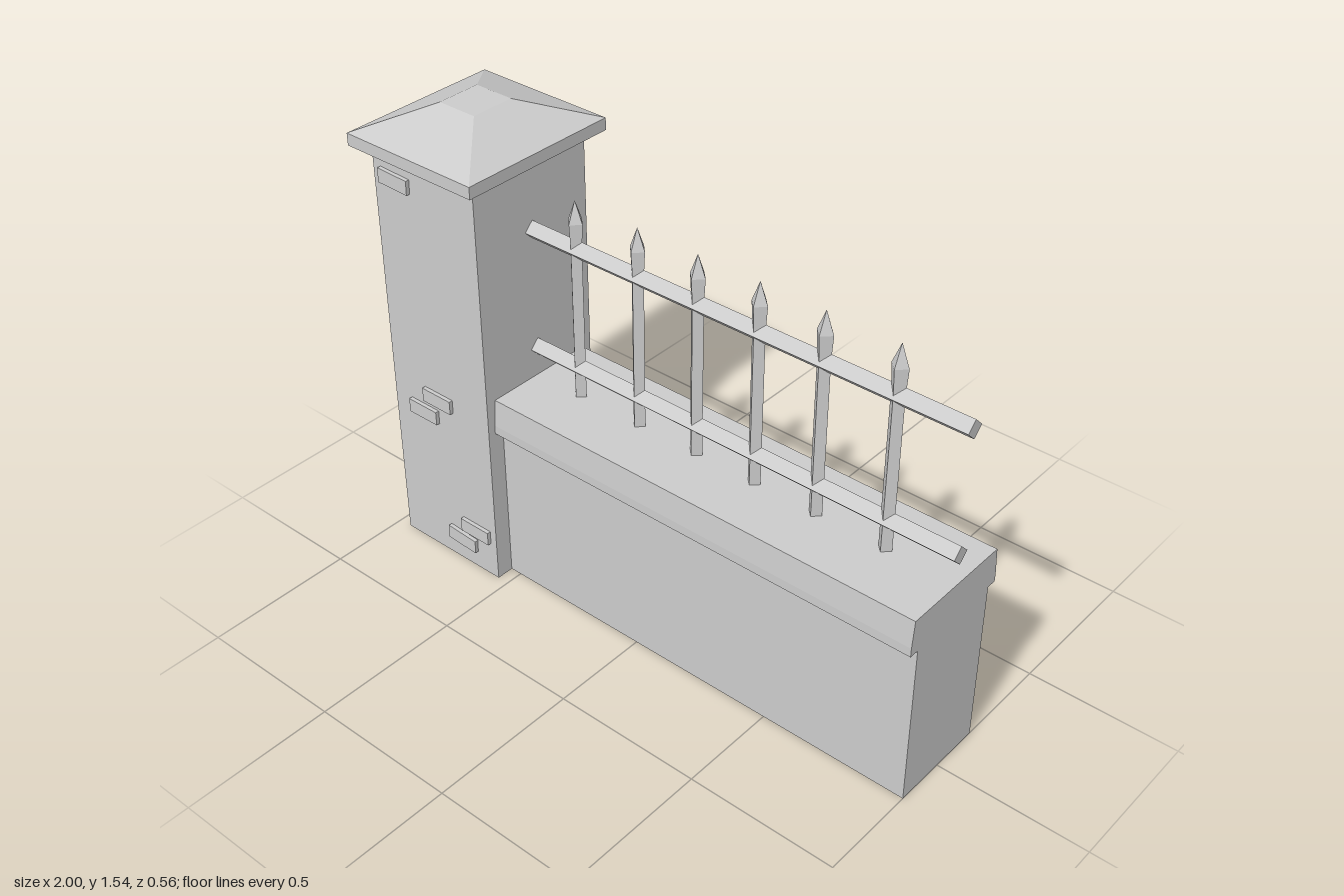
import * as THREE from 'three';

const material = new THREE.MeshStandardMaterial({ color: 0xcccccc, flatShading: true });

export function createModel() {
  const model = new THREE.Group();
  const add = (name, geometry, x = 0, y = 0, z = 0) => {
    const mesh = new THREE.Mesh(geometry, material);
    mesh.name = name;
    mesh.position.set(x, y, z);
    model.add(mesh);
    return mesh;
  };
  const box = (name, x0, x1, y0, y1, z) =>
    add(name, new THREE.BoxGeometry(x1 - x0, y1 - y0, 2 * z), (x0 + x1) / 2, (y0 + y1) / 2, 0);

  // Extrudes a (z, y) outline along x
  const alongX = (points, x0, x1) => {
    const shape = new THREE.Shape(points.map(([z, y]) => new THREE.Vector2(-z, y)));
    const geometry = new THREE.ExtrudeGeometry(shape, { depth: x1 - x0, bevelEnabled: false });
    return geometry.rotateY(Math.PI / 2).translate(x0, 0, 0);
  };

  // Pillar with its cap slab and hipped top
  box('pillar', -0.955, -0.54, 0, 1.42, 0.23);
  box('capSlab', -1, -0.497, 1.42, 1.46, 0.28);
  const hip = new THREE.BoxGeometry(0.503, 0.08, 0.56);
  const p = hip.attributes.position;
  for (let i = 0; i < p.count; i++) {
    if (p.getY(i) > 0) {
      p.setX(i, Math.sign(p.getX(i)) * 0.07);
      p.setZ(i, Math.sign(p.getZ(i)) * 0.075);
    }
  }
  hip.computeVertexNormals();
  add('capTop', hip, -0.7485, 1.5, 0);

  // Low wall and its tapered coping
  box('wall', -0.55, 1, 0, 0.57, 0.17);
  add('coping', alongX([[-0.203, 0.56], [0.203, 0.56], [0.203, 0.59], [0.195, 0.68],
    [-0.195, 0.68], [-0.203, 0.59]], -0.55, 1));

  // Diamond-section rails
  for (const y of [0.78, 1.19]) {
    add('rail', alongX([[0, y - 0.031], [0.031, y], [0, y + 0.031], [-0.031, y]], -0.55, 1));
  }

  // Four-sided bars with spear tips
  const barProfile = [[0, 0.67], [0.023, 0.67], [0.023, 1.2], [0.028, 1.28], [0, 1.35]]
    .map(([r, y]) => new THREE.Vector2(r, y));
  for (const x of [-0.365, -0.128, 0.092, 0.308, 0.527, 0.765]) {
    add('bar', new THREE.LatheGeometry(barProfile, 4), x);
  }

  // Raised bricks on the pillar: [position along face, height, tilt]
  const brick = new THREE.BoxGeometry(0.12, 0.048, 0.03);
  const frontBricks = [[-0.865, 1.333, -0.03], [-0.755, 0.603, 0], [-0.822, 0.533, 0],
    [-0.625, 0.153, 0], [-0.687, 0.09, -0.06]];
  for (const [x, y, tilt] of frontBricks) add('frontBrick', brick, x, y, 0.228).rotation.z = tilt;
  for (const [x, y] of [[-0.838, 1.268], [-0.78, 1.203], [-0.662, 0.255]]) {
    add('backBrick', brick, x, y, -0.23);
  }
  for (const [z, y] of [[0.125, 1.24], [-0.04, 0.335], [-0.11, 0.255]]) {
    add('sideBrick', brick, -0.957, y, z).rotation.y = Math.PI / 2;
  }
  return model;
}
